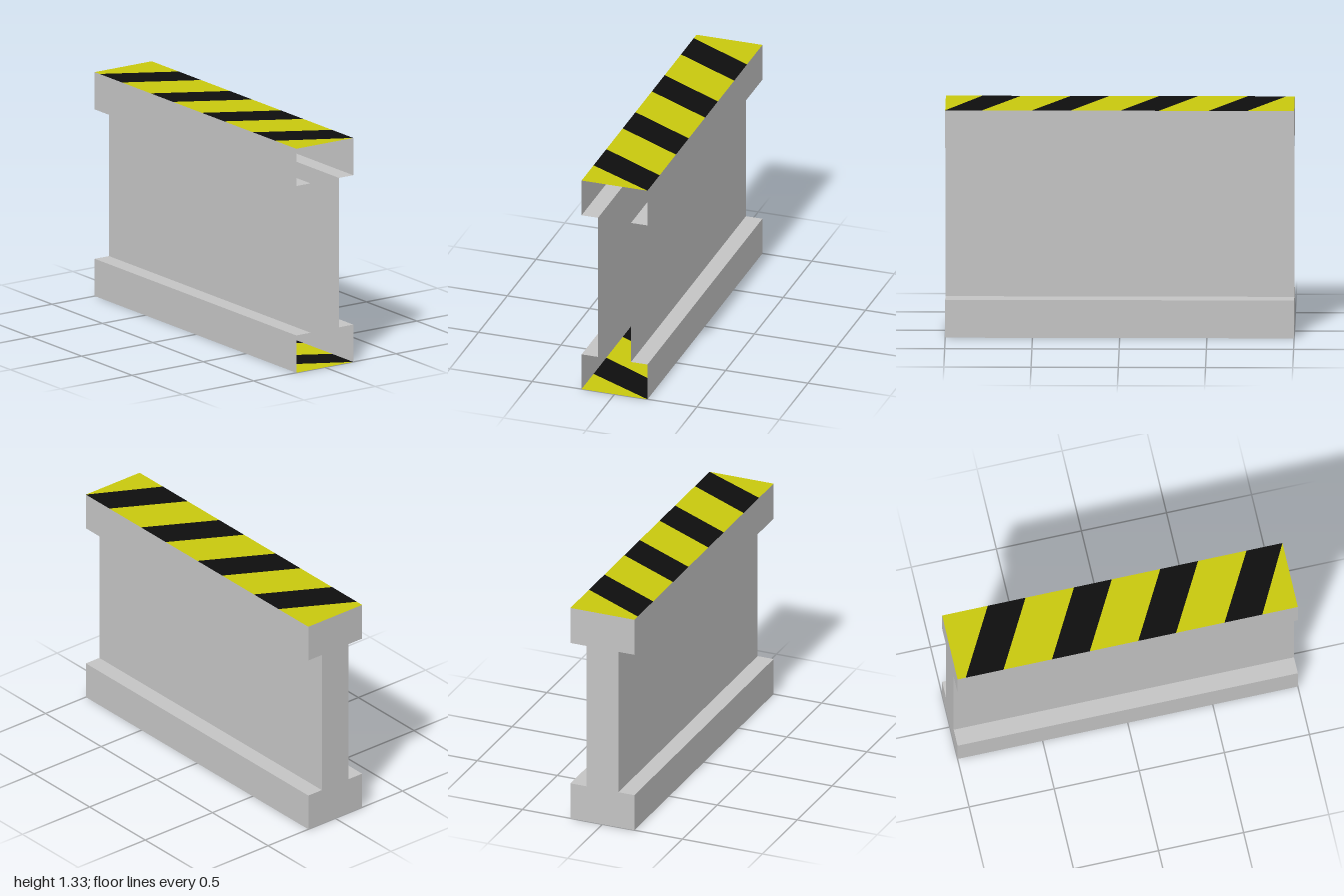
import * as THREE from 'three';

const TOP = 1.333, HALF = 1, WIDE = 0.2, THIN = 0.1;

function material(name, color) {
  const m = new THREE.MeshStandardMaterial({ color, side: THREE.DoubleSide });
  m.name = name;
  return m;
}

export function createModel() {
  const model = new THREE.Group();
  model.name = 'striped I-beam';
  const steel = material('light grey steel', 0xc4c4c4);
  const yellow = material('hazard yellow', 0xc8c80e);
  const black = material('hazard black', 0x0d0d0d);

  function add(name, geometry, mat, parent = model) {
    const mesh = new THREE.Mesh(geometry, mat);
    mesh.name = name;
    parent.add(mesh);
    return mesh;
  }

  // Right and left halves of the I profile, running counter-clockwise
  const right = [[WIDE, 0], [WIDE, 0.222], [THIN, 0.222], [THIN, 1.111], [WIDE, 1.111], [WIDE, TOP]];
  const left = right.map(([x, y]) => [-x, y]).reverse();

  // Flange and web walls, swept along z
  function wall(points) {
    const pos = [];
    for (let i = 0; i < points.length - 1; i++) {
      const [ax, ay] = points[i], [bx, by] = points[i + 1];
      pos.push(ax, ay, HALF, ax, ay, -HALF, bx, by, -HALF);
      pos.push(ax, ay, HALF, bx, by, -HALF, bx, by, HALF);
    }
    const g = new THREE.BufferGeometry();
    g.setAttribute('position', new THREE.Float32BufferAttribute(pos, 3));
    g.computeVertexNormals();
    return g;
  }
  add('leftSideWall', wall(right), steel);
  add('rightSideWall', wall(left), steel);

  // Back end plate with reversed normals; the front end is open
  const profile = new THREE.Shape([...right, ...left].map(([x, y]) => new THREE.Vector2(x, y)));
  const plate = new THREE.ShapeGeometry(profile);
  const n = plate.attributes.normal;
  for (let i = 0; i < n.count; i++) n.setXYZ(i, 0, 0, -1);
  add('backEndPlate', plate, steel).position.z = -HALF;

  // One slanted band across the flange; z0 and z1 are its limits at x = -WIDE
  const SLANT = 0.22, PERIOD = 0.507, STRIPE = 0.222;
  function band(z0, z1, facing) {
    const clip = z => THREE.MathUtils.clamp(z, -HALF, HALF);
    const corners = [[-WIDE, z1], [WIDE, z1 + SLANT], [WIDE, z0 + SLANT], [-WIDE, z0]];
    const pts = corners.map(([x, z]) => new THREE.Vector2(x, -facing * clip(z)));
    return new THREE.ShapeGeometry(new THREE.Shape(pts)).rotateX(-facing * Math.PI / 2);
  }

  // Hazard stripes on the top and bottom faces
  for (const [name, y, facing] of [['topStripes', TOP, 1], ['bottomStripes', 0, -1]]) {
    const face = new THREE.Group();
    face.name = name;
    face.position.y = y;
    model.add(face);
    let end = -2;
    for (let i = 0; i < 4; i++) {
      const start = -0.952 + i * PERIOD;
      add('yellowStripe', band(end, start, facing), yellow, face);
      end = start + STRIPE;
      add('blackStripe', band(start, end, facing), black, face);
    }
    add('yellowStripe', band(end, 2, facing), yellow, face);
  }
  return model;
}
